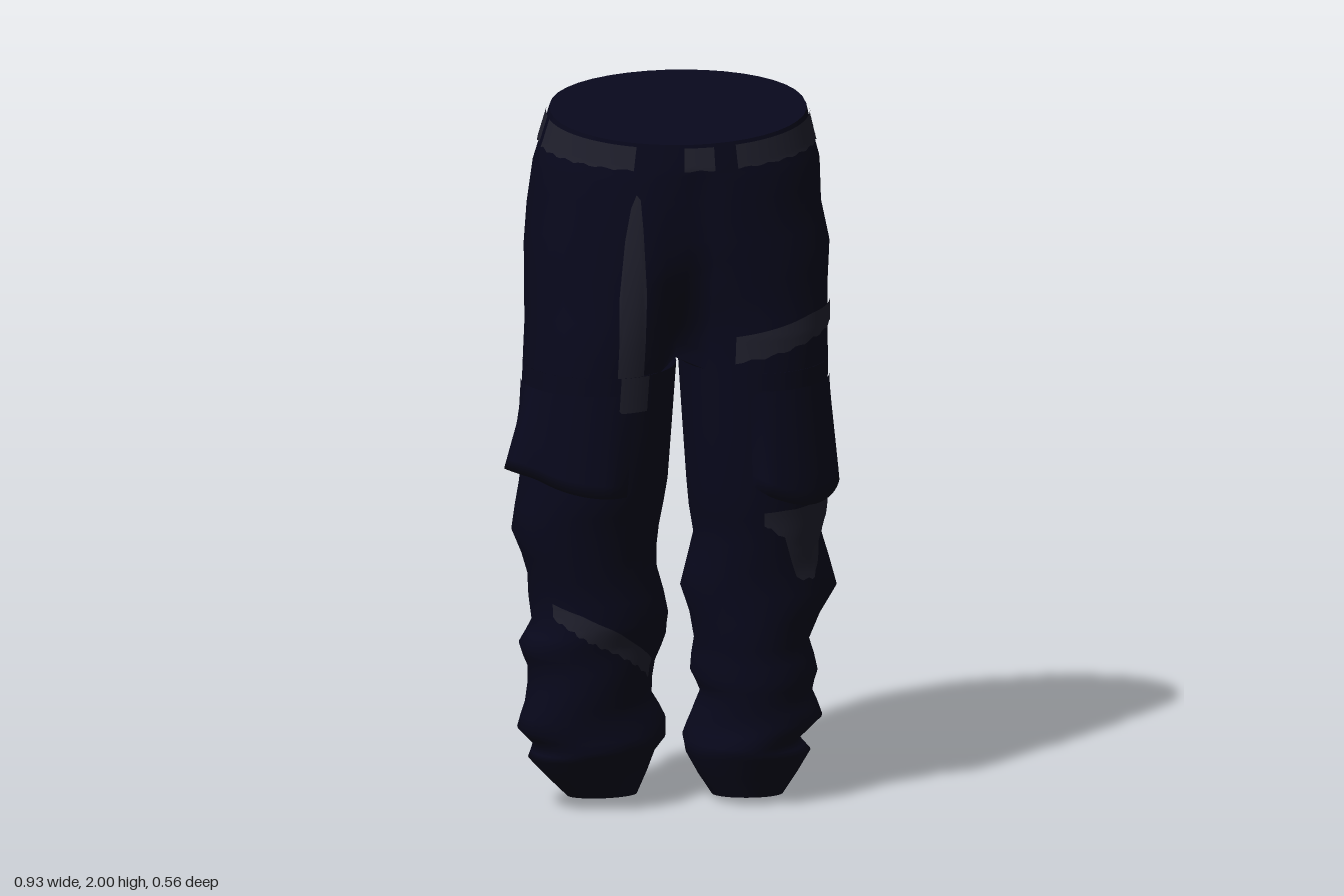
import * as THREE from 'three';

const lerp = THREE.MathUtils.lerp;
const rad = THREE.MathUtils.degToRad;

// Cross-section rows: [y, xMin, xMax, zMin, zMax, two-lobe amount, tilt along z, turn-out]
const pelvisRows = [
  [1.25, -0.40, 0.43, -0.21, 0.25, 1, 0],
  [1.35, -0.395, 0.43, -0.225, 0.262, 0.8, 0],
  [1.45, -0.395, 0.43, -0.24, 0.272, 0.42, 0],
  [1.57, -0.395, 0.437, -0.265, 0.282, 0.18, 0],
  [1.68, -0.385, 0.415, -0.287, 0.285, 0.1, 0],
  [1.80, -0.37, 0.41, -0.265, 0.283, 0.04, -0.03],
  [1.87, -0.35, 0.39, -0.235, 0.28, 0, -0.14],
  [1.95, -0.33, 0.37, -0.19, 0.275, 0, -0.215],
];
const rightLegRows = [
  [0.025, -0.27, -0.08, -0.14, 0.04, 0, 0.1, -0.15],
  [0.14, -0.385, -0.02, -0.215, 0.10, 0, 0.05, -0.25],
  [0.18, -0.37, 0.005, -0.225, 0.12, 0, 0, -0.25],
  [0.23, -0.41, 0.0, -0.215, 0.125, 0, 0, -0.25],
  [0.30, -0.395, -0.035, -0.20, 0.13, 0, 0, -0.25],
  [0.40, -0.385, -0.03, -0.195, 0.14, 0, 0, -0.25],
  [0.47, -0.41, 0.0, -0.195, 0.145, 0, 0, -0.22],
  [0.53, -0.38, 0.01, -0.195, 0.15, 0, 0, -0.2],
  [0.66, -0.385, -0.03, -0.19, 0.16, 0, 0, -0.15],
  [0.78, -0.43, -0.025, -0.2, 0.18, 0, 0, -0.1],
  [0.92, -0.41, -0.005, -0.2, 0.22, 0, 0, -0.05],
  [1.25, -0.40, 0.015, -0.21, 0.25, 0, 0, 0],
];
const leftLegRows = [
  [0.011, 0.13, 0.32, -0.17, 0.04, 0, 0.1],
  [0.13, 0.055, 0.4, -0.24, 0.10, 0, 0.05],
  [0.17, 0.05, 0.365, -0.265, 0.11, 0, 0],
  [0.23, 0.075, 0.425, -0.25, 0.115, 0, 0],
  [0.30, 0.095, 0.40, -0.23, 0.12, 0, 0],
  [0.36, 0.065, 0.415, -0.225, 0.13, 0, 0],
  [0.45, 0.08, 0.385, -0.22, 0.14, 0, 0],
  [0.60, 0.04, 0.46, -0.21, 0.15, 0, 0],
  [0.75, 0.07, 0.42, -0.205, 0.175, 0, 0],
  [0.90, 0.05, 0.43, -0.205, 0.21, 0, 0],
  [1.25, 0.025, 0.43, -0.21, 0.25, 0, 0],
];

// Point on a trouser section at angle u (0 = +x, 90 degrees = front), pushed out by off
function surfacePoint(rows, u, y, off = 0) {
  let i = 0;
  while (i < rows.length - 2 && y > rows[i + 1][0]) i++;
  const a = rows[i], b = rows[i + 1];
  const f = THREE.MathUtils.clamp((y - a[0]) / (b[0] - a[0]), 0, 1);
  const [, x0, x1, z0, z1, lobe, tilt, turn = 0] = a.map((v, k) => lerp(v, b[k], f));
  const c = Math.cos(u), s = Math.sin(u);
  const twoLobes = Math.sqrt(Math.max(0, 1 - (2 * Math.abs(c) - 1) ** 2));
  // The seat is fuller than a plain ellipse
  const fullness = s < 0 && y > 1.25 ? lerp(0.87, 1, lobe) : 1;
  const depth = lerp(Math.abs(s), twoLobes, lobe) ** fullness;
  const fold = 1 + 0.02 * THREE.MathUtils.clamp((0.95 - y) / 0.3, 0, 1) * Math.sin(y * 32 + u * 2);
  const dx = (x1 - x0) / 2 * c * fold;
  const dz = (z1 - z0) / 2 * Math.sign(s) * depth * fold + turn * dx;
  const len = Math.hypot(dx, dz) || 1;
  const z = (z0 + z1) / 2 + dz;
  return [
    (x0 + x1) / 2 + dx + dx / len * off,
    y + tilt * (z - (z0 + z1) / 2),
    z + dz / len * off,
  ];
}

// Grid of points (i across, j upward) as a smooth mesh
function gridMesh(name, material, nu, nv, point, wrap = false) {
  const pos = [], idx = [], cols = wrap ? nu : nu + 1;
  for (let j = 0; j <= nv; j++)
    for (let i = 0; i < cols; i++) pos.push(...point(i / nu, j / nv));
  for (let j = 0; j < nv; j++)
    for (let i = 0; i < nu; i++) {
      const a = j * cols + i, b = j * cols + (i + 1) % cols;
      idx.push(a, a + cols, b, b, a + cols, b + cols);
    }
  const g = new THREE.BufferGeometry();
  g.setAttribute('position', new THREE.Float32BufferAttribute(pos, 3));
  g.setIndex(idx);
  g.computeVertexNormals();
  const mesh = new THREE.Mesh(g, material);
  mesh.name = name;
  return mesh;
}

// Closed tube of cloth through all rows
function loft(name, rows, material) {
  const ys = [];
  rows.forEach((r, i) => {
    if (i) ys.push((rows[i - 1][0] + r[0]) / 2);
    ys.push(r[0]);
  });
  const n = ys.length - 1;
  return gridMesh(name, material, 40, n,
    (s, t) => surfacePoint(rows, s * Math.PI * 2, ys[Math.round(t * n)]), true);
}

// Flat lid across one row
function cap(name, rows, row, up, material) {
  const [y, x0, x1, z0, z1] = row;
  return gridMesh(name, material, 40, 1, (s, t) => {
    const p = surfacePoint(rows, s * Math.PI * 2, y);
    const centre = [(x0 + x1) / 2, y, (z0 + z1) / 2];
    return (t > 0.5) === up ? centre : p;
  }, true);
}

// Thin painted patch; stations are [angle, low y, high y] with rising angle
function patch(name, rows, stations, material, ragged = 0.004) {
  const first = stations[0][0], last = stations[stations.length - 1][0];
  const nu = Math.max(6, Math.ceil((last - first) / 3));
  return gridMesh(name, material, nu, 12, (s, t) => {
    const deg = lerp(first, last, s);
    let i = 0;
    while (i < stations.length - 2 && deg > stations[i + 1][0]) i++;
    const a = stations[i], b = stations[i + 1], f = (deg - a[0]) / (b[0] - a[0]);
    const wave = ragged * Math.sin(deg * 0.6);
    const y = lerp(lerp(a[1], b[1], f) + wave, lerp(a[2], b[2], f), t);
    return surfacePoint(rows, rad(deg), y, 0.006);
  });
}

// Round worn spot on the back, centred on an angle and height
function spot(name, rows, deg, y, r, material) {
  const list = [];
  const spread = r / 0.4 * 57;
  for (let k = -4; k <= 4; k++) {
    const h = r * Math.sqrt(1 - (k / 4.2) ** 2);
    list.push([deg + k / 4 * spread, y - h, y + h]);
  }
  return patch(name, rows, list, material, 0);
}

// Cargo pocket that flares outward to its lower edge and folds back underneath
function pocket(name, rows, deg0, deg1, low, high, flare, material) {
  return gridMesh(name, material, 24, 9, (s, t) => {
    const v = Math.max(0, (t * 9 - 1) / 8);
    const side = Math.min(1, Math.min(s, 1 - s) * 8);
    const off = t === 0 ? -0.01 : 0.004 + flare(s) * side * (1 - v);
    const y = lerp(low(s), high, v);
    return surfacePoint(rows, rad(lerp(deg0, deg1, s)), y, off);
  });
}

export function createModel() {
  const model = new THREE.Group();
  model.name = 'cargoTrousers';
  const navy = new THREE.MeshStandardMaterial({ color: 0x08081c, side: THREE.DoubleSide });
  navy.name = 'navy cloth';
  const grey = new THREE.MeshStandardMaterial({ color: 0x20202d });
  grey.name = 'worn grey';

  // Cloth body
  model.add(
    loft('hips', pelvisRows, navy),
    loft('rightLeg', rightLegRows, navy),
    loft('leftLeg', leftLegRows, navy),
    cap('waistTop', pelvisRows, pelvisRows[pelvisRows.length - 1], true, navy),
    cap('rightCuff', rightLegRows, rightLegRows[0], false, navy),
    cap('leftCuff', leftLegRows, leftLegRows[0], false, navy),
  );

  // Cargo pockets; the right one has a corner that sticks out
  model.add(
    pocket('rightPocket', rightLegRows, 72, 190, (s) => 0.91 + 0.07 * Math.min(1, s / 0.72) ** 2, 1.2,
      (s) => 0.018 + 0.055 * Math.exp(-(((s - 0.74) / 0.1) ** 2)), navy),
    pocket('leftPocket', leftLegRows, 5, 102, (s) => 0.93 - 0.06 * Math.sin(s * Math.PI), 1.2,
      () => 0.033, navy),
  );

  // Waistband sections between the gaps
  [[8, 70], [80, 93], [114, 174], [179, 257], [267, 279], [283, 364]].forEach(([a, b], i) =>
    model.add(patch('waistbandSection' + (i + 1), pelvisRows,
      [[a, 1.86, 1.94], [b, 1.86, 1.94]], grey)));

  // Worn stripes and patches
  model.add(
    patch('frontStripeUpper', pelvisRows,
      [[106, 1.25, 1.48], [108, 1.25, 1.68], [110, 1.25, 1.77], [112.5, 1.25, 1.77],
        [115, 1.25, 1.65], [117, 1.25, 1.48]], grey, 0),
    patch('frontStripeLower', rightLegRows, [[60, 1.15, 1.25], [83, 1.15, 1.25]], grey, 0),
    patch('leftThighStripe', pelvisRows, [[4, 1.36, 1.41], [35, 1.33, 1.4], [72, 1.28, 1.355]], grey),
    patch('leftKneePatch', leftLegRows,
      [[10, 0.84, 0.87], [28, 0.78, 0.87], [42, 0.68, 0.86], [50, 0.645, 0.86],
        [66, 0.65, 0.855], [74, 0.77, 0.855], [93, 0.815, 0.85]], grey),
    patch('rightKneeStripe', rightLegRows,
      [[38, 0.37, 0.42], [55, 0.41, 0.46], [80, 0.46, 0.515], [110, 0.51, 0.57], [138, 0.56, 0.6]], grey),
    spot('leftSeatSpot', pelvisRows, -45, 1.4, 0.044, grey),
    spot('rightSeatSpot', pelvisRows, -116, 1.37, 0.028, grey),
    spot('rightHipSpot', pelvisRows, -152, 1.57, 0.032, grey),
    spot('leftThighSpot', leftLegRows, -50, 1.08, 0.012, grey),
  );
  return model;
}
